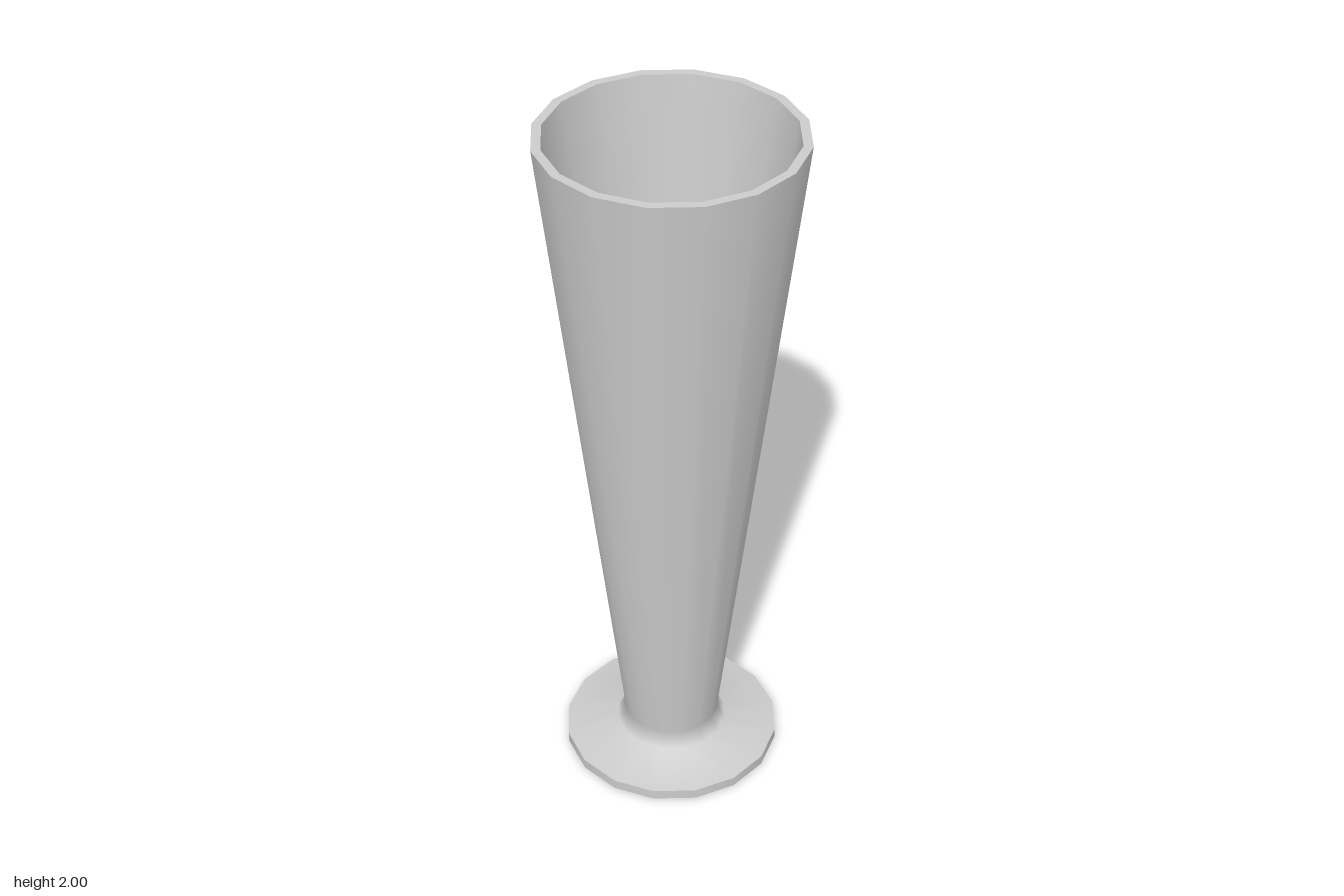
import * as THREE from 'three';

const SIDES = 16;
const material = new THREE.MeshStandardMaterial({ color: 0xcccccc });

// One smooth band of the turned profile; separate bands keep a sharp edge between them.
function band(name, points) {
  const profile = points.map(([r, y]) => new THREE.Vector2(r, y));
  const mesh = new THREE.Mesh(new THREE.LatheGeometry(profile, SIDES), material);
  mesh.name = name;
  return mesh;
}

export function createModel() {
  const vase = new THREE.Group();
  vase.name = 'vase';

  // Flat round foot
  const foot = new THREE.Group();
  foot.name = 'foot';
  foot.add(
    band('footUnderside', [[0, 0], [0.312, 0]]),
    band('footEdge', [[0.312, 0], [0.312, 0.03]])
  );

  // Sloping foot top flowing through the neck into the flared wall
  const body = new THREE.Group();
  body.name = 'body';
  body.add(
    band('outerWall', [[0.312, 0.03], [0.16, 0.055], [0.137, 0.1], [0.352, 2]]),
    band('rim', [[0.352, 2], [0.327, 2]]),
    band('innerWall', [[0.327, 2], [0.102, 0.1]]),
    band('innerFloor', [[0.102, 0.1], [0, 0.1]])
  );

  vase.add(foot, body);
  return vase;
}
